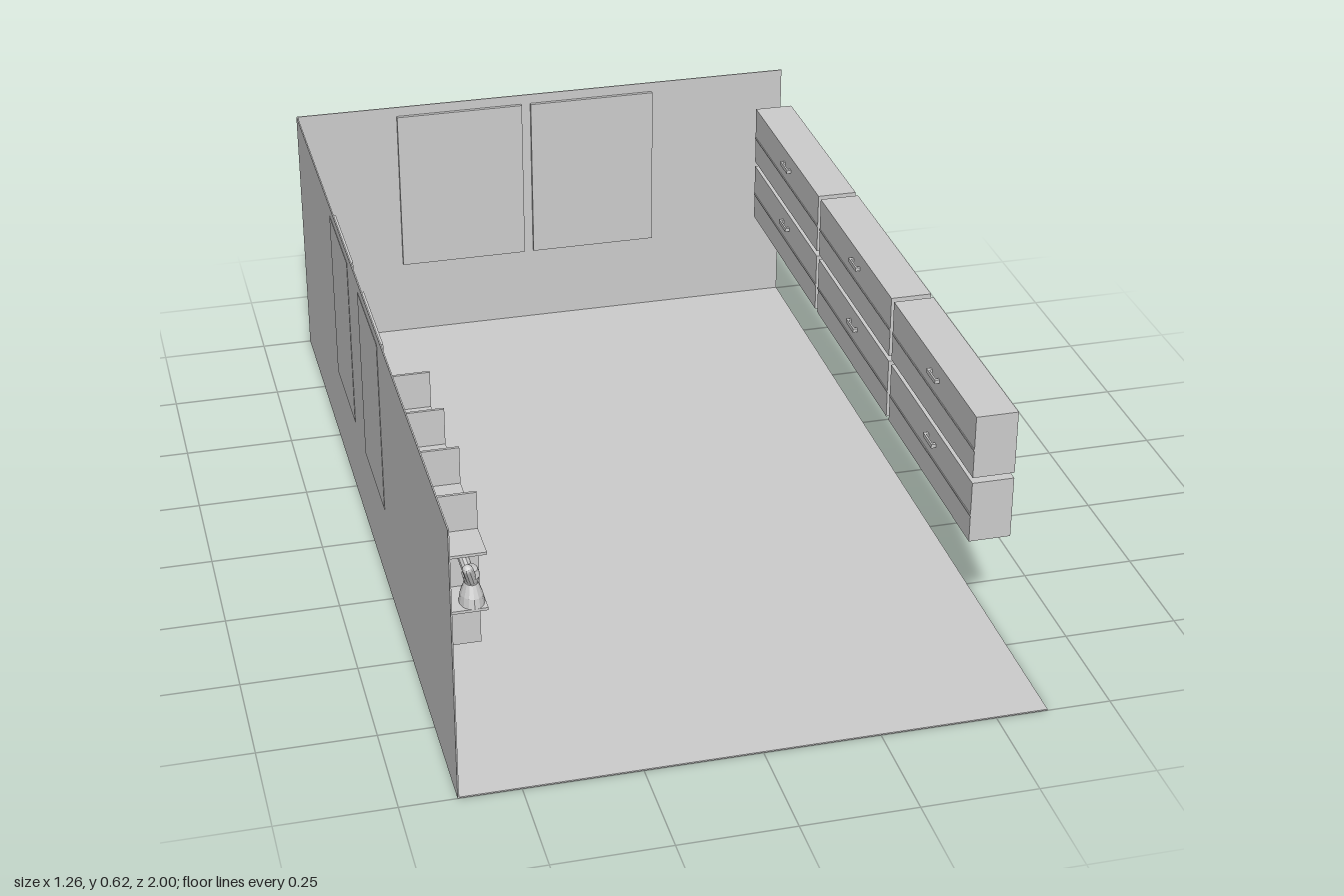
import * as THREE from 'three';

const material = new THREE.MeshStandardMaterial({ color: 0xcccccc, flatShading: true });

// Box given by its lower and upper limits on each axis
function slab(parent, name, [x0, x1], [y0, y1], [z0, z1]) {
  const mesh = new THREE.Mesh(new THREE.BoxGeometry(x1 - x0, y1 - y0, z1 - z0), material);
  mesh.position.set((x0 + x1) / 2, (y0 + y1) / 2, (z0 + z1) / 2);
  mesh.name = name;
  parent.add(mesh);
  return mesh;
}

function group(parent, name, x = 0, y = 0, z = 0) {
  const g = new THREE.Group();
  g.name = name;
  g.position.set(x, y, z);
  parent.add(g);
  return g;
}

function solid(parent, name, geometry, x, y, z) {
  const mesh = new THREE.Mesh(geometry, material);
  mesh.name = name;
  mesh.position.set(x, y, z);
  parent.add(mesh);
  return mesh;
}

// Small leaning statuette with a narrow waist and a notched top
function addStatuette(parent, x, y, z, size) {
  const g = group(parent, 'statuette', x, y, z);
  g.scale.setScalar(size);
  const profile = [[0, 0], [0.034, 0], [0.03, 0.02], [0.018, 0.045], [0.024, 0.062], [0.018, 0.075], [0, 0.08]]
    .map(([r, h]) => new THREE.Vector2(r, h));
  const body = solid(g, 'statuetteBody', new THREE.LatheGeometry(profile, 14), 0, 0, 0);
  body.scale.x = 0.75;
  for (const s of [-1, 1]) {
    const limb = solid(g, 'statuetteLimb', new THREE.CapsuleGeometry(0.011, 0.035, 4, 10), -0.006, 0.072, s * 0.019);
    limb.rotation.set(s * 0.4, 0, 0.25);
  }
}

// Square pot with pointed leaves
function addPlant(parent, x, y, z, size) {
  const g = group(parent, 'pottedPlant', x, y, z);
  g.scale.setScalar(size);
  slab(g, 'pot', [-0.027, 0.027], [0, 0.055], [-0.027, 0.027]);
  for (let i = 0; i < 4; i++) {
    const a = Math.PI / 4 + i * Math.PI / 2;
    const leaf = solid(g, 'leaf', new THREE.ConeGeometry(0.011, 0.045, 4), Math.cos(a) * 0.018, 0.077, Math.sin(a) * 0.018);
    leaf.rotation.set(Math.sin(a) * 0.3, 0, -Math.cos(a) * 0.3);
  }
}

export function createModel() {
  const model = new THREE.Group();
  model.name = 'room';
  const L = -0.631, R = 0.612, H = 0.624, T = 0.003;

  // Room shell, open at the front and on one side
  slab(model, 'floor', [L, R], [0, T], [-1, 1]);
  slab(model, 'backWall', [L, R], [T, H], [-1, -1 + T]);
  slab(model, 'sideWall', [L, L + T], [T, H], [-1 + T, 1]);

  // Window panels
  const winY = [0.193, 0.6];
  for (const x of [[-0.383, -0.067], [-0.044, 0.27]])
    slab(model, 'backWindow', x, winY, [-1.001, -0.988]);
  for (const z of [[-0.466, -0.213], [-0.065, 0.189]])
    slab(model, 'sideWindow', [L - 0.001, -0.617], winY, z);

  // Two rows of wall cabinets with handles
  const cabinets = group(model, 'cabinets');
  for (const [y0, y1] of [[0.234, 0.377], [0.39, 0.536]]) {
    for (const [z0, z1] of [[-0.966, -0.425], [-0.407, 0.129], [0.147, 0.687]]) {
      slab(cabinets, 'cabinet', [0.538, 0.631], [y0, y1], [z0, z1]);
      const ym = (y0 + y1) / 2 - 0.008, yh = y1 - 0.036, zm = (z0 + z1) / 2 + 0.015;
      slab(cabinets, 'frontSeam', [0.536, 0.538], [ym, ym + 0.004], [z0, z1]);
      slab(cabinets, 'handle', [0.527, 0.531], [yh - 0.005, yh + 0.005], [zm - 0.028, zm + 0.028]);
      for (const s of [-1, 1])
        slab(cabinets, 'handlePost', [0.531, 0.538], [yh - 0.004, yh + 0.004],
          [zm + s * 0.024 - 0.004, zm + s * 0.024 + 0.004]);
    }
  }

  // Shelf unit: two boards crossed by four uprights
  const shelves = group(model, 'shelves');
  const shelfX = [L + T, -0.55];
  for (const y of [0.408, 0.534])
    slab(shelves, 'shelfBoard', shelfX, [y, y + 0.006], [0.263, 0.962]);
  for (const z of [0.371, 0.532, 0.693, 0.87])
    slab(shelves, 'shelfUpright', shelfX, [0.278, 0.621], [z - 0.003, z + 0.003]);

  // Ornaments in the open bays
  const top = 0.414;
  addStatuette(shelves, -0.577, top, 0.93, 1);
  addPlant(shelves, -0.585, top, 0.783, 1);
  addStatuette(shelves, -0.58, top, 0.615, 0.8);
  addPlant(shelves, -0.585, top, 0.45, 0.7);
  return model;
}
